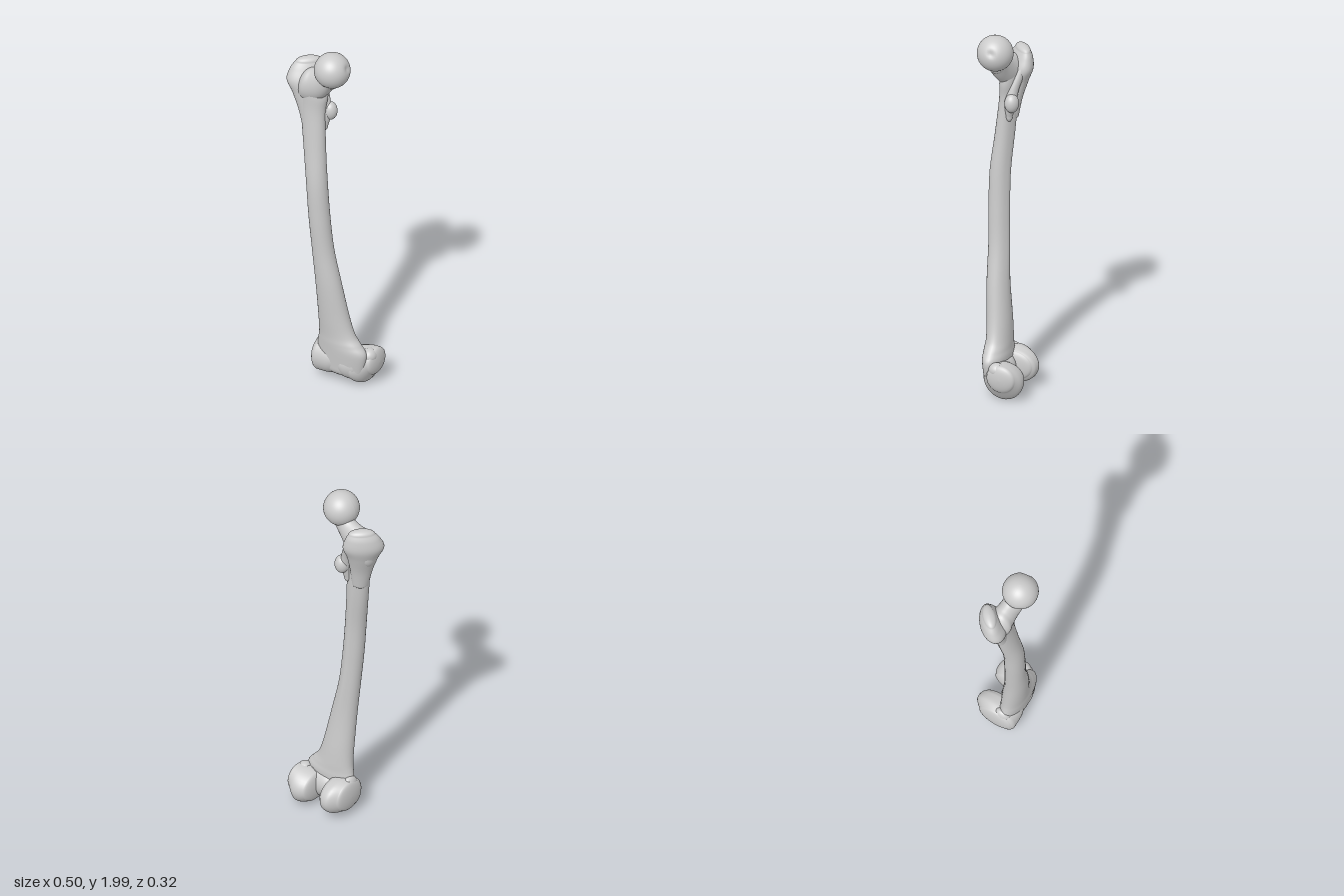
import * as THREE from 'three';

const material = new THREE.MeshStandardMaterial({ color: 0xcccccc, roughness: 0.7 });

function addMesh(group, name, geometry) {
  const mesh = new THREE.Mesh(geometry, material);
  mesh.name = name;
  group.add(mesh);
  return mesh;
}

// Catmull-Rom blend of whole rows of numbers
function sampleRows(rows, s) {
  const i = Math.min(Math.floor(s), rows.length - 2), f = s - i;
  const at = (k) => rows[Math.max(0, Math.min(rows.length - 1, k))];
  const [p, q, r, t] = [at(i - 1), at(i), at(i + 1), at(i + 2)];
  return q.map((b, k) => b + 0.5 * f * (r[k] - p[k] +
    f * (2 * p[k] - 5 * b + 4 * r[k] - t[k] + f * (3 * (b - r[k]) + t[k] - p[k]))));
}

// Smooth loft with rounded ends along 'y' (a = x, b = z) or 'x' (a = z, b = y).
// Row: [position on axis, centre a, centre b, radius a, radius b]
function loft(rows, axis, { cap = 0.02, tilt = 0, steps = 8, sides = 40, shape = null } = {}) {
  const rings = [];
  const capSteps = 7;
  const endRing = (row, dir, k) => {
    const angle = (k / capSteps) * Math.PI / 2, c = Math.cos(angle);
    return [row[0] + dir * cap * Math.sin(angle), row[1], row[2], row[3] * c, row[4] * c];
  };
  for (let k = capSteps; k > 0; k--) rings.push(endRing(rows[0], -1, k));
  const count = (rows.length - 1) * steps;
  for (let k = 0; k <= count; k++) rings.push(sampleRows(rows, k / steps));
  for (let k = 1; k <= capSteps; k++) rings.push(endRing(rows[rows.length - 1], 1, k));

  const positions = [], index = [];
  const ct = Math.cos(tilt), st = Math.sin(tilt);
  rings.forEach(([t, ca, cb, ra, rb], i) => {
    for (let j = 0; j < sides; j++) {
      const angle = (j / sides) * Math.PI * 2;
      const k = shape ? shape(angle, t) : 1;
      const u = Math.cos(angle) * ra * k, v = Math.sin(angle) * rb * k;
      const a = ca + u * ct - v * st, b = cb + u * st + v * ct;
      if (axis === 'y') positions.push(a, t, b);
      else positions.push(t, b, a);
      if (i < rings.length - 1) {
        const n = (j + 1) % sides, A = i * sides + j, B = i * sides + n;
        index.push(A, A + sides, B, B, A + sides, B + sides);
      }
    }
  });
  const geometry = new THREE.BufferGeometry();
  geometry.setAttribute('position', new THREE.Float32BufferAttribute(positions, 3));
  geometry.setIndex(index);
  geometry.computeVertexNormals();
  return geometry;
}

function addEllipsoid(group, name, center, radii) {
  const mesh = addMesh(group, name, new THREE.SphereGeometry(1, 32, 24));
  mesh.position.set(...center);
  mesh.scale.set(...radii);
  return mesh;
}

export function createModel() {
  const bone = new THREE.Group();
  bone.name = 'thighBone';

  // Shaft: bowed forward, flaring at both ends, with a rough ridge down the back
  const ridge = (angle, y) => {
    const d = angle - Math.PI * 1.5;
    const fade = THREE.MathUtils.smoothstep(y, 0.4, 0.8) * (1 - THREE.MathUtils.smoothstep(y, 1.4, 1.7));
    return 1 + 0.1 * fade * Math.exp(-d * d * 10);
  };
  addMesh(bone, 'shaft', loft([
    [0.10, 0.060, 0.025, 0.140, 0.055],
    [0.20, 0.068, 0.025, 0.148, 0.064],
    [0.25, 0.056, 0.028, 0.128, 0.064],
    [0.30, 0.040, 0.030, 0.106, 0.063],
    [0.40, 0.025, 0.038, 0.090, 0.063],
    [0.60, 0.003, 0.056, 0.073, 0.059],
    [0.80, -0.025, 0.066, 0.060, 0.055],
    [1.00, -0.043, 0.074, 0.058, 0.055],
    [1.20, -0.058, 0.075, 0.058, 0.054],
    [1.40, -0.082, 0.060, 0.063, 0.050],
    [1.60, -0.103, 0.045, 0.072, 0.047],
    [1.70, -0.110, 0.037, 0.090, 0.053],
    [1.76, -0.122, 0.032, 0.098, 0.058],
  ], 'y', { cap: 0.05, shape: ridge }));

  // Neck: rises inward from the top of the shaft
  addMesh(bone, 'neck', loft([
    [-0.19, 0.030, 1.720, 0.050, 0.070],
    [-0.14, 0.037, 1.752, 0.068, 0.092],
    [-0.10, 0.037, 1.762, 0.062, 0.096],
    [-0.05, 0.043, 1.785, 0.055, 0.090],
    [0.00, 0.054, 1.830, 0.054, 0.085],
    [0.03, 0.060, 1.865, 0.058, 0.078],
  ], 'x', { cap: 0.03 }));

  // Ball head with a shallow pit on its inner side
  const ball = new THREE.SphereGeometry(0.096, 48, 32);
  const pit = new THREE.Vector3(0.9, 0.3, -0.15).normalize();
  const point = new THREE.Vector3(), points = ball.attributes.position;
  for (let i = 0; i < points.count; i++) {
    point.fromBufferAttribute(points, i);
    const angle = point.angleTo(pit);
    point.multiplyScalar(1 - 0.12 * Math.exp(-angle * angle * 25));
    points.setXYZ(i, point.x, point.y, point.z);
  }
  ball.computeVertexNormals();
  addMesh(bone, 'head', ball).position.set(0.03, 1.904, 0.062);

  // Greater trochanter: crest running diagonally on the outer side
  addMesh(bone, 'greaterTrochanter', loft([
    [1.50, -0.118, 0.040, 0.045, 0.040],
    [1.60, -0.132, 0.032, 0.060, 0.046],
    [1.70, -0.150, 0.022, 0.084, 0.060],
    [1.77, -0.163, 0.012, 0.109, 0.066],
    [1.83, -0.168, 0.000, 0.092, 0.050],
    [1.865, -0.166, -0.006, 0.070, 0.034],
  ], 'y', { cap: 0.025, tilt: -Math.PI / 4 }));

  // Lesser trochanter and the crest that joins both
  addEllipsoid(bone, 'lesserTrochanter', [-0.03, 1.605, -0.005], [0.04, 0.052, 0.038]);
  addMesh(bone, 'trochanterCrest', loft([
    [1.52, -0.050, 0.018, 0.020, 0.018],
    [1.60, -0.045, 0.010, 0.030, 0.030],
    [1.68, -0.065, -0.002, 0.032, 0.028],
    [1.75, -0.095, -0.020, 0.034, 0.028],
    [1.81, -0.120, -0.042, 0.032, 0.026],
  ], 'y', { cap: 0.03, sides: 24 }));

  // Knee end: two rounded condyles with a notch between them
  addMesh(bone, 'medialCondyle', loft([
    [0.120, -0.040, 0.112, 0.108, 0.085],
    [0.150, -0.044, 0.108, 0.116, 0.097],
    [0.185, -0.055, 0.111, 0.105, 0.099],
    [0.222, -0.060, 0.138, 0.080, 0.075],
  ], 'x', { cap: 0.026 }));
  addMesh(bone, 'lateralCondyle', loft([
    [-0.088, -0.018, 0.130, 0.098, 0.085],
    [-0.050, -0.032, 0.126, 0.122, 0.097],
    [-0.010, -0.032, 0.124, 0.122, 0.094],
    [0.008, -0.030, 0.130, 0.108, 0.080],
  ], 'x', { cap: 0.022 }));

  // Grooved kneecap surface bridging the condyles at the front
  addMesh(bone, 'patellarSurface', loft([
    [-0.070, 0.028, 0.122, 0.064, 0.085],
    [0.000, 0.020, 0.125, 0.070, 0.086],
    [0.050, 0.006, 0.132, 0.072, 0.078],
    [0.100, 0.008, 0.126, 0.076, 0.088],
    [0.150, 0.002, 0.125, 0.070, 0.090],
  ], 'x', { cap: 0.035 }));

  // Bony bumps above the condyles
  addEllipsoid(bone, 'medialEpicondyle', [0.202, 0.178, -0.03], [0.041, 0.04, 0.045]);
  addEllipsoid(bone, 'lateralEpicondyle', [-0.07, 0.18, 0.01], [0.03, 0.05, 0.05]);

  return bone;
}
